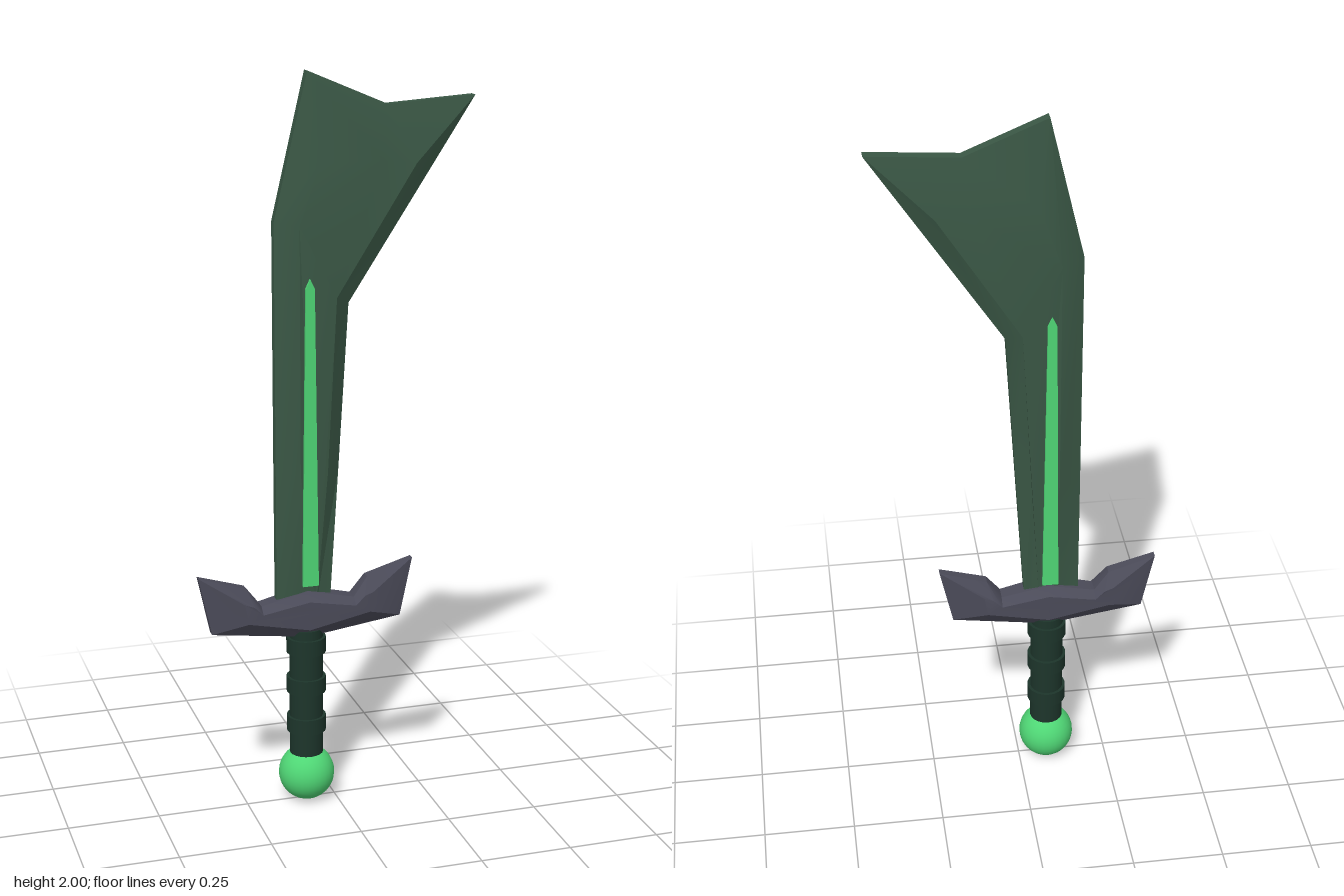
import * as THREE from 'three';
import { toCreasedNormals } from 'three/addons/utils/BufferGeometryUtils.js';

const AXIS = -0.08; // x of the grip's centre line

// Bevelled plate: rows are [rimX, rimY, rimHalfDepth, ridgeX, ridgeY, ridgeHalfDepth], counter-clockwise.
function bevelledPlate(rows) {
  const n = rows.length;
  const pos = [];
  const index = [];
  // four loops: front ridge, front rim, back rim, back ridge
  for (const r of rows) pos.push(r[3], r[4], r[5]);
  for (const r of rows) pos.push(r[0], r[1], r[2]);
  for (const r of rows) pos.push(r[0], r[1], -r[2]);
  for (const r of rows) pos.push(r[3], r[4], -r[5]);
  for (let loop = 0; loop < 3; loop++) {
    for (let i = 0; i < n; i++) {
      const j = (i + 1) % n;
      const a = loop * n + i, b = loop * n + j, c = a + n, d = b + n;
      index.push(a, c, d, a, d, b);
    }
  }
  // front and back faces
  const ridge = rows.map((r) => new THREE.Vector2(r[3], r[4]));
  for (const [a, b, c] of THREE.ShapeUtils.triangulateShape(ridge, [])) {
    index.push(a, b, c, 3 * n + a, 3 * n + c, 3 * n + b);
  }
  const g = new THREE.BufferGeometry();
  g.setAttribute('position', new THREE.Float32BufferAttribute(pos, 3));
  g.setIndex(index);
  return toCreasedNormals(g, 0.5);
}

export function createModel() {
  const sword = new THREE.Group();
  sword.name = 'sword';

  const material = (name, color) => {
    const m = new THREE.MeshStandardMaterial({ color });
    m.name = name;
    return m;
  };
  const bladeGreen = material('dark green blade', 0x3a5745);
  const guardGrey = material('slate grey', 0x4b4b59);
  const gripGreen = material('deep green grip', 0x1d352b);
  const glowGreen = material('bright green', 0x4fd675);

  const add = (name, geometry, mat, x = 0, y = 0, z = 0) => {
    const mesh = new THREE.Mesh(geometry, mat);
    mesh.name = name;
    mesh.position.set(x, y, z);
    sword.add(mesh);
    return mesh;
  };

  // Blade with a flared, notched tip
  add('blade', bevelledPlate([
    [-0.165, 0.57, 0.01, -0.105, 0.57, 0.016],
    [-0.015, 0.57, 0.01, -0.055, 0.57, 0.016],
    [0.008, 0.95, 0.012, -0.03, 0.95, 0.043],
    [0.035, 1.40, 0.014, -0.005, 1.42, 0.043],
    [0.378, 1.927, 0.014, 0.21, 1.76, 0.043],
    [0.14, 1.91, 0.014, 0.12, 1.77, 0.043],
    [-0.075, 2.0, 0.014, -0.05, 1.77, 0.043],
    [-0.165, 1.62, 0.012, -0.105, 1.61, 0.043],
    [-0.165, 0.95, 0.012, -0.105, 0.95, 0.043],
  ]), bladeGreen);

  // Winged crossguard: left half listed from the top middle, then mirrored
  const half = [
    [-0.13, 0.585, 0.02, -0.13, 0.567, 0.043],
    [-0.17, 0.637, 0.014, -0.155, 0.592, 0.043],
    [-0.30, 0.677, 0.01, -0.18, 0.60, 0.04],
    [-0.265, 0.515, 0.012, -0.17, 0.545, 0.043],
  ];
  const mirrored = half.map(([x, y, z, rx, ry, rz]) => [-x, y, z, -rx, ry, rz]).reverse();
  const guard = bevelledPlate([
    [0, 0.615, 0.025, 0, 0.59, 0.043],
    ...half,
    [0, 0.485, 0.025, 0, 0.51, 0.043],
    ...mirrored,
  ]);
  add('crossguard', guard, guardGrey, AXIS);

  // Glowing inlay on both faces
  const inlay = new THREE.Shape([
    [-0.023, 0.64], [0.021, 0.64], [0.012, 1.45], [0, 1.475], [-0.012, 1.45],
  ].map(([x, y]) => new THREE.Vector2(x, y)));
  const inlayGeometry = new THREE.ExtrudeGeometry(inlay, { depth: 0.008, bevelEnabled: false });
  add('frontInlay', inlayGeometry, glowGreen, AXIS, 0, 0.046);
  add('backInlay', inlayGeometry, glowGreen, AXIS, 0, -0.054);

  // Grip with three bands
  add('grip', new THREE.CylinderGeometry(0.046, 0.046, 0.38, 20), gripGreen, AXIS, 0.315);
  for (const y of [0.227, 0.342, 0.457]) {
    add('gripBand', new THREE.CylinderGeometry(0.054, 0.054, 0.044, 20), gripGreen, AXIS, y);
  }

  // Round pommel
  add('pommel', new THREE.SphereGeometry(0.077, 28, 18), glowGreen, AXIS, 0.077);

  return sword;
}
